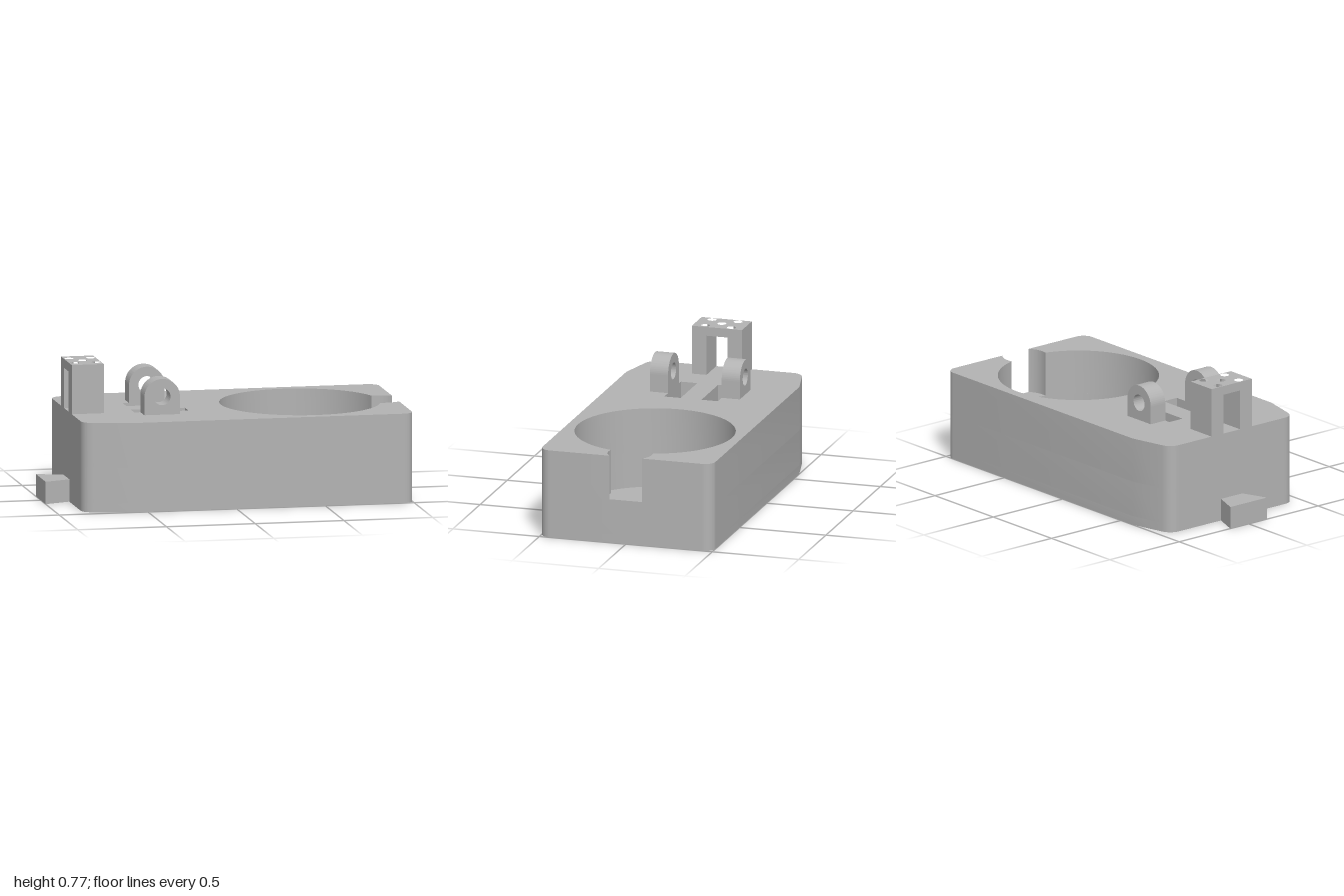
import * as THREE from 'three';
import { toCreasedNormals } from 'three/addons/utils/BufferGeometryUtils.js';

const WELL = { x: 0.46, r: 0.445 };
const NOTCH = { x: 0.918, r: 0.125 };

export function createModel() {
  const model = new THREE.Group();
  model.name = 'fixtureBlock';
  const grey = new THREE.MeshStandardMaterial({ color: 0xb3b3b3 });
  grey.name = 'plain grey';

  function add(name, geometry, parent = model) {
    const mesh = new THREE.Mesh(geometry, grey);
    mesh.name = name;
    parent.add(mesh);
    return mesh;
  }

  function extrude(shape, depth) {
    const g = new THREE.ExtrudeGeometry(shape, { depth, bevelEnabled: false, curveSegments: 48 });
    return toCreasedNormals(g, 0.5);
  }

  // Plan shape raised from y0 to y1
  function slab(shape, y0, y1) {
    return extrude(shape, y1 - y0).rotateX(-Math.PI / 2).translate(0, y0, 0);
  }

  function circle(x, y, r) {
    return new THREE.Path().absarc(x, y, r, 0, Math.PI * 2, true);
  }

  function rectangle(x0, x1, y0, y1) {
    return new THREE.Path([[x0, y0], [x0, y1], [x1, y1], [x1, y0], [x0, y0]]
      .map(p => new THREE.Vector2(...p)));
  }

  // Plan outline, optionally cut open at the end by the notch and well
  function outline(open) {
    const dx = 1 - NOTCH.x;
    const n = Math.sqrt(NOTCH.r ** 2 - dx ** 2);
    const s = new THREE.Shape();
    s.moveTo(1, open ? n : 0);
    s.lineTo(1, 0.44);
    s.absarc(0.94, 0.44, 0.06, 0, Math.PI / 2, false);
    s.lineTo(-0.6, 0.5);
    s.lineTo(-0.79, 0.455);
    s.quadraticCurveTo(-0.855, 0.44, -0.855, 0.38);
    s.lineTo(-0.855, -0.38);
    s.quadraticCurveTo(-0.855, -0.44, -0.79, -0.455);
    s.lineTo(-0.6, -0.5);
    s.lineTo(0.94, -0.5);
    s.absarc(0.94, -0.44, 0.06, -Math.PI / 2, 0, false);
    if (open) {
      s.lineTo(1, -n);
      const d = NOTCH.x - WELL.x;
      const ix = (d * d + WELL.r ** 2 - NOTCH.r ** 2) / (2 * d);
      const iy = Math.sqrt(WELL.r ** 2 - ix * ix);
      const a = Math.atan2(iy, ix);
      const b = Math.atan2(iy, ix - d);
      const e = Math.atan2(n, dx);
      s.absarc(NOTCH.x, 0, NOTCH.r, -e, -b, true);
      s.absarc(WELL.x, 0, WELL.r, -a, a - Math.PI * 2, true);
      s.absarc(NOTCH.x, 0, NOTCH.r, b, e, true);
    }
    s.closePath();
    return s;
  }

  // Body: floor, ring around the well, then the notched and slotted upper half
  const body = new THREE.Group();
  body.name = 'body';
  model.add(body);
  add('bodyFloor', slab(outline(false), 0, 0.05), body);
  const middle = outline(false);
  middle.holes.push(circle(WELL.x, 0, WELL.r));
  add('bodyMiddle', slab(middle, 0.05, 0.25), body);
  const upper = outline(true);
  upper.holes.push(rectangle(-0.505, -0.2, 0.06, 0.155), rectangle(-0.505, -0.2, -0.155, -0.06));
  add('bodyUpper', slab(upper, 0.25, 0.5), body);

  // Drilled bridge over two legs
  const bridge = new THREE.Group();
  bridge.name = 'bridge';
  model.add(bridge);
  const plate = new THREE.Shape(rectangle(-0.855, -0.675, -0.145, 0.145).getPoints());
  plate.holes.push(circle(-0.765, 0, 0.025));
  for (const x of [-0.825, -0.705]) {
    for (const z of [-0.075, 0.075]) plate.holes.push(circle(x, z, 0.025));
  }
  add('bridgeTop', slab(plate, 0.725, 0.775), bridge);
  for (const side of [-1, 1]) {
    const leg = add('bridgeLeg', new THREE.BoxGeometry(0.18, 0.225, 0.085), bridge);
    leg.position.set(-0.765, 0.6125, side * 0.1025);
  }

  // Pair of rounded hinge lugs
  const lug = new THREE.Shape();
  lug.moveTo(-0.1, 0);
  lug.lineTo(0.1, 0);
  lug.lineTo(0.1, 0.1);
  lug.absarc(0, 0.1, 0.1, 0, Math.PI, false);
  lug.closePath();
  lug.holes.push(circle(0, 0.1, 0.047));
  const lugGeometry = extrude(lug, 0.105);
  for (const z of [0.155, -0.26]) {
    add('hingeLug', lugGeometry).position.set(-0.37, 0.5, z);
  }

  // Dovetail tab at the low end
  const tab = new THREE.Shape([[-1, -0.132], [-0.85, -0.075], [-0.85, 0.075], [-1, 0.132]]
    .map(p => new THREE.Vector2(...p)));
  add('dovetailTab', slab(tab, 0, 0.125));

  return model;
}
